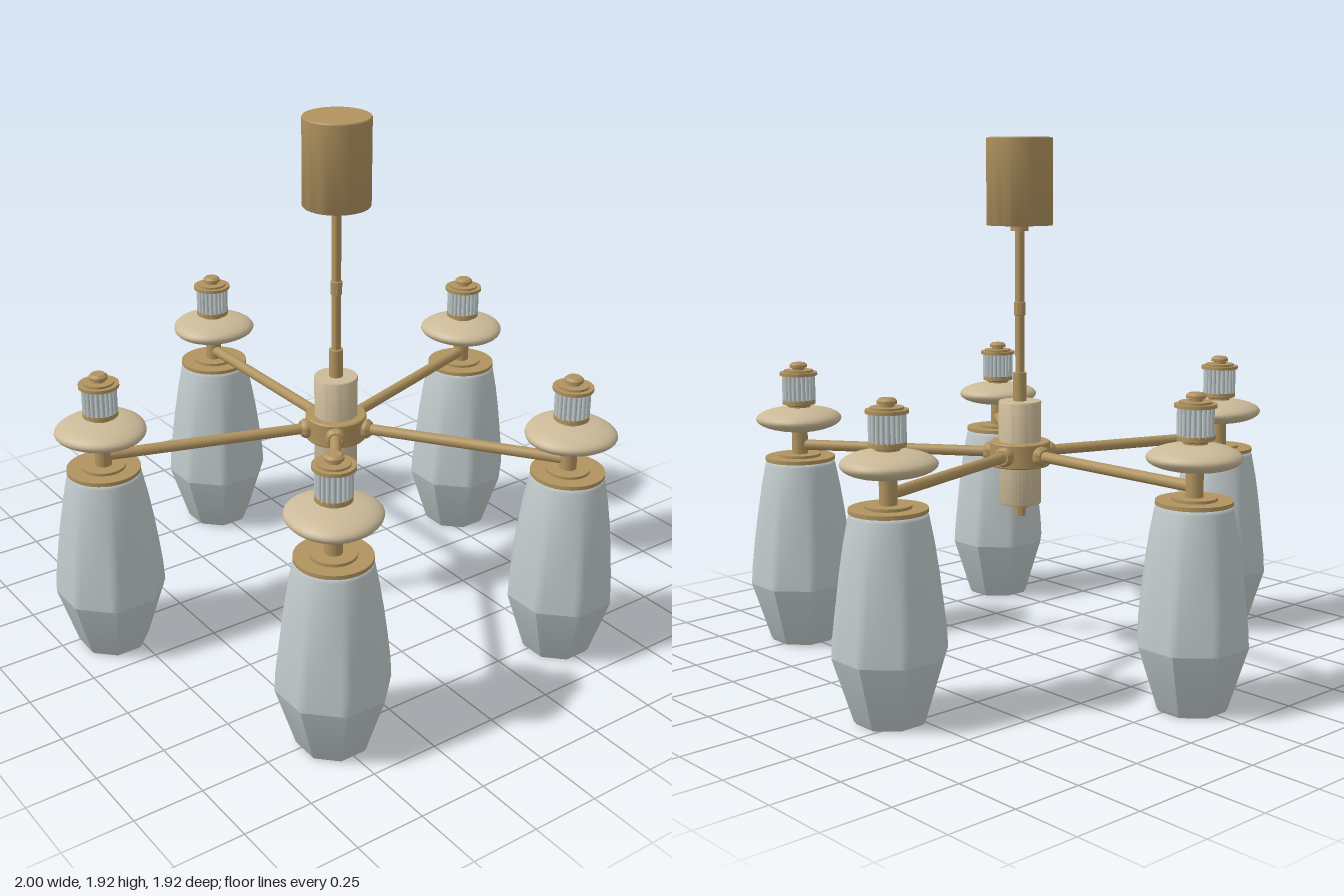
import * as THREE from 'three';
import { mergeVertices, toCreasedNormals } from 'three/addons/utils/BufferGeometryUtils.js';

const material = (name, color, side = THREE.FrontSide) => {
  const m = new THREE.MeshStandardMaterial({ color, side });
  m.name = name;
  return m;
};

export function createModel() {
  const brass = material('brass', 0xb0935f);
  const stone = material('pale stone', 0xcbba98);
  const glass = material('grey glass', 0xc0c9ca, THREE.DoubleSide);

  const add = (parent, name, geometry, mat, x = 0, y = 0, z = 0) => {
    const mesh = new THREE.Mesh(geometry, mat);
    mesh.name = name;
    mesh.position.set(x, y, z);
    parent.add(mesh);
    return mesh;
  };
  // Solid of revolution from [radius, y] pairs, bottom to top, with crisp edges
  const turned = (pairs, segments = 40) => toCreasedNormals(
    new THREE.LatheGeometry(pairs.map(([r, y]) => new THREE.Vector2(r, y)), segments), 0.6);

  // Skin over rings [apothem, y, roundness]; roundness 0 is an octagon, 1 a circle
  const loft = (rings, n = 64) => {
    const pos = [], idx = [];
    for (const [r, y, round] of rings) {
      for (let i = 0; i < n; i++) {
        const a = (i / n) * Math.PI * 2;
        const local = ((a + Math.PI / 8) % (Math.PI / 4)) - Math.PI / 8;
        const d = r * (round + (1 - round) / Math.cos(local));
        pos.push(d * Math.sin(a), y, d * Math.cos(a));
      }
    }
    for (let k = 0; k < rings.length - 1; k++) {
      for (let i = 0; i < n; i++) {
        const a = k * n + i, b = k * n + (i + 1) % n;
        idx.push(a, b, b + n, a, b + n, a + n);
      }
    }
    const g = new THREE.BufferGeometry();
    g.setAttribute('position', new THREE.Float32BufferAttribute(pos, 3));
    g.setIndex(idx);
    g.computeVertexNormals();
    return g;
  };

  // Glass shade: faceted foot, body easing from octagon to round neck
  const footGeo = toCreasedNormals(
    loft([[0.0001, 0, 0], [0.11, 0, 0], [0.118, 0.012, 0], [0.183, 0.23, 0]]), 0.4);
  const bodyGeo = loft([[0.183, 0.23, 0], [0.181, 0.3, 0.12], [0.173, 0.4, 0.35],
    [0.163, 0.5, 0.6], [0.149, 0.6, 0.85], [0.132, 0.69, 1], [0.125, 0.707, 1], [0.02, 0.707, 1]]);

  // Softly squared pebble
  const pebbleGeo = mergeVertices(new THREE.SphereGeometry(1, 40, 20).deleteAttribute('uv'));
  const p = pebbleGeo.attributes.position;
  for (let i = 0; i < p.count; i++) {
    const a = Math.atan2(p.getX(i), p.getZ(i));
    const s = 0.161 * (1 + 0.025 * Math.cos(3 * a));
    p.setXYZ(i, p.getX(i) * s, p.getY(i) * 0.047, p.getZ(i) * s);
  }
  pebbleGeo.computeVertexNormals();

  const neckGeo = turned([[0, 0.703], [0.131, 0.703], [0.131, 0.717], [0.078, 0.717],
    [0.078, 0.727], [0.03, 0.727], [0.03, 0.83], [0, 0.83]]);
  const seatGeo = turned([[0, 0.895], [0.042, 0.895], [0.042, 0.912], [0.062, 0.918],
    [0.062, 0.935], [0, 0.935]]);
  const coreGeo = new THREE.CylinderGeometry(0.053, 0.053, 0.1, 32);
  const ribGeo = new THREE.CylinderGeometry(0.0075, 0.0075, 0.1, 8);
  const capGeo = turned([[0, 1.028], [0.071, 1.028], [0.071, 1.04], [0.055, 1.04], [0.055, 1.048],
    [0.024, 1.048], [0.024, 1.056], [0.033, 1.058], [0.033, 1.068], [0.024, 1.076], [0, 1.076]]);

  const makeLamp = (angle) => {
    const lamp = new THREE.Group();
    lamp.name = 'lamp';
    add(lamp, 'shadeFoot', footGeo, glass);
    add(lamp, 'shadeBody', bodyGeo, glass);
    add(lamp, 'neck', neckGeo, brass);
    add(lamp, 'pebble', pebbleGeo, stone, 0, 0.861).rotation.y = angle;
    add(lamp, 'ribSeat', seatGeo, brass);
    add(lamp, 'ribCore', coreGeo, glass, 0, 0.98);
    for (let i = 0; i < 20; i++) {
      const a = (i / 20) * Math.PI * 2;
      add(lamp, 'rib', ribGeo, glass, 0.055 * Math.sin(a), 0.98, 0.055 * Math.cos(a));
    }
    add(lamp, 'cap', capGeo, brass);
    return lamp;
  };

  const model = new THREE.Group();
  model.name = 'chandelier';
  const frame = new THREE.Group();
  frame.name = 'frame';
  frame.position.z = 0.08;
  model.add(frame);

  // Ceiling canopy and hanging rod
  add(frame, 'canopy', turned([[0, 1.6], [0.119, 1.6], [0.121, 1.603], [0.121, 1.912],
    [0.118, 1.916], [0, 1.916]], 48), brass);
  add(frame, 'rod', turned([[0, 0.95], [0.025, 0.95], [0.025, 1.06], [0.017, 1.062], [0.017, 1.27],
    [0.021, 1.272], [0.021, 1.32], [0.017, 1.322], [0.017, 1.58], [0.033, 1.58], [0.033, 1.605],
    [0, 1.605]], 24), brass);

  // Central column, hub and finial
  add(frame, 'column', turned([[0, 0.57], [0.077, 0.57], [0.079, 0.573], [0.079, 0.952],
    [0.077, 0.955], [0, 0.955]]), stone);
  add(frame, 'hub', turned([[0.07, 0.714], [0.108, 0.714], [0.112, 0.718], [0.112, 0.801],
    [0.108, 0.805], [0.07, 0.805]]), brass);
  add(frame, 'finial', turned([[0, 0.522], [0.021, 0.522], [0.021, 0.556], [0.036, 0.556],
    [0.036, 0.572], [0, 0.572]], 24), brass);

  // Five arms, each carrying a lamp
  const reach = 0.86;
  const armGeo = new THREE.CylinderGeometry(0.02, 0.02, reach - 0.08, 20).rotateX(Math.PI / 2);
  const collarGeo = turned([[0, 0.1], [0.036, 0.1], [0.036, 0.122], [0.027, 0.135], [0, 0.135]], 24)
    .rotateX(Math.PI / 2);
  for (let i = 0; i < 5; i++) {
    const angle = Math.PI + (i / 5) * Math.PI * 2;
    const arm = new THREE.Group();
    arm.name = 'arm';
    arm.position.y = 0.76;
    arm.rotation.y = angle;
    add(arm, 'armTube', armGeo, brass, 0, 0, (reach + 0.08) / 2);
    add(arm, 'armCollar', collarGeo, brass);
    frame.add(arm);
    const lamp = makeLamp(angle);
    lamp.position.set(reach * Math.sin(angle), 0, reach * Math.cos(angle));
    frame.add(lamp);
  }
  return model;
}
